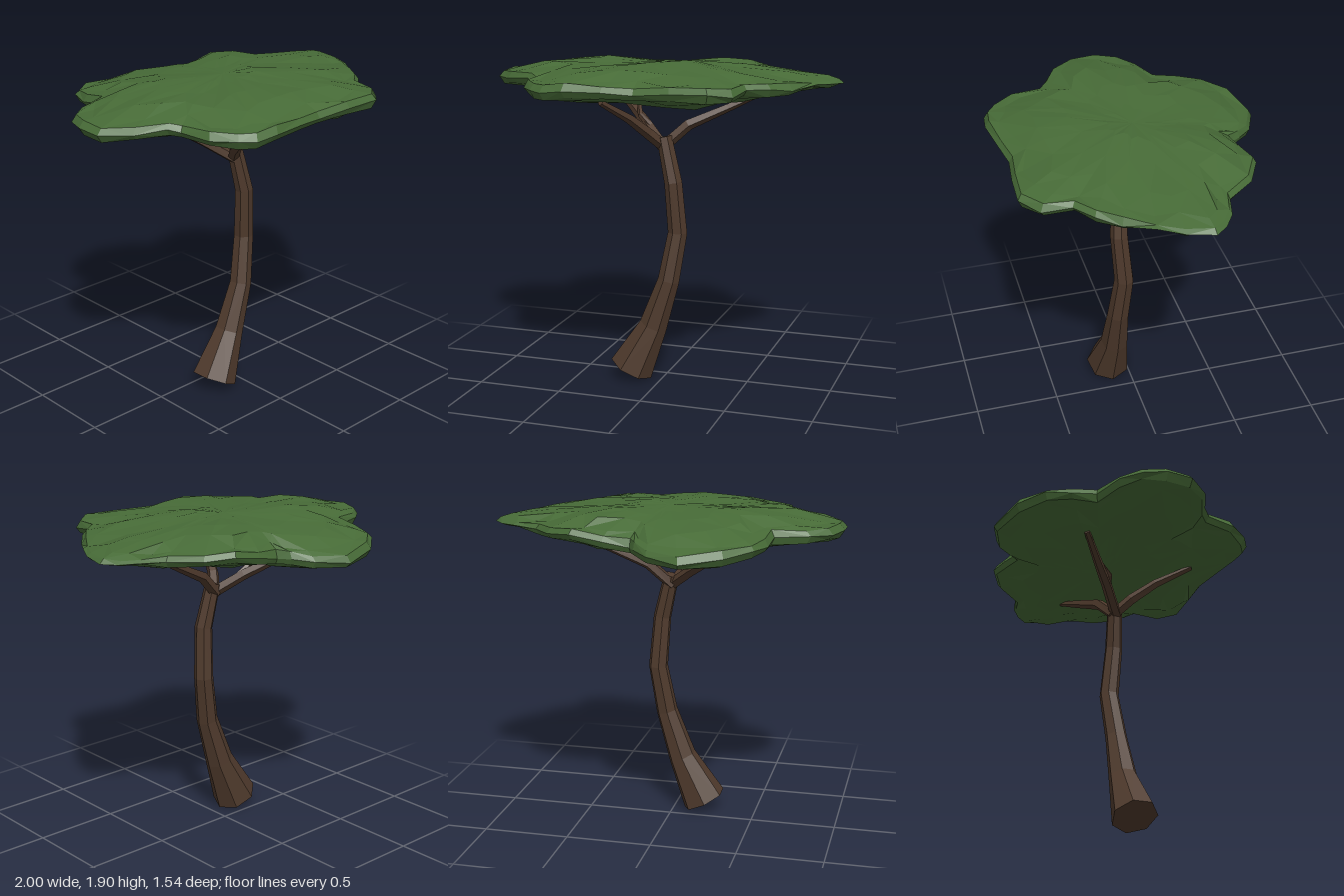
import * as THREE from 'three';

// Skin a closed solid over a list of rings (each an array of Vector3), capped at both ends
function loft(rings, material, name) {
  const pos = [];
  const tri = (...pts) => pts.forEach((p) => pos.push(p.x, p.y, p.z));
  const n = rings[0].length;
  const mid = (r) => r.reduce((s, p) => s.add(p), new THREE.Vector3()).divideScalar(n);
  const first = rings[0], last = rings[rings.length - 1];
  const c0 = mid(first), c1 = mid(last);
  for (let j = 0; j < n; j++) {
    const k = (j + 1) % n;
    for (let i = 0; i < rings.length - 1; i++) {
      const a = rings[i], b = rings[i + 1];
      if ((i + j) % 2) { tri(a[j], a[k], b[k]); tri(a[j], b[k], b[j]); }
      else { tri(a[j], a[k], b[j]); tri(a[k], b[k], b[j]); }
    }
    tri(c0, first[k], first[j]);
    tri(c1, last[j], last[k]);
  }
  const geo = new THREE.BufferGeometry();
  geo.setAttribute('position', new THREE.Float32BufferAttribute(pos, 3));
  geo.computeVertexNormals();
  const mesh = new THREE.Mesh(geo, material);
  mesh.name = name;
  return mesh;
}

// Tapered limb through nodes [x, y, z, radius]
function limb(nodes, sides, material, name) {
  const pts = nodes.map((p) => new THREE.Vector3(p[0], p[1], p[2]));
  const rings = nodes.map((node, i) => {
    const prev = pts[Math.max(i - 1, 0)], next = pts[Math.min(i + 1, pts.length - 1)];
    const t = next.clone().sub(prev).normalize();
    const u = new THREE.Vector3(0, 0, 1).cross(t).normalize().negate();
    const v = t.clone().cross(u);
    return Array.from({ length: sides }, (_, j) => {
      const a = (j / sides) * Math.PI * 2;
      return pts[i].clone()
        .addScaledVector(u, Math.cos(a) * node[3])
        .addScaledVector(v, Math.sin(a) * node[3]);
    });
  });
  return loft(rings, material, name);
}

// Lobed canopy outline as [x, z]
const OUTLINE = [
  [1, -0.15], [0.97, 0], [0.9, 0.13], [0.8, 0.28], [0.71, 0.4], [0.6, 0.49],
  [0.57, 0.65], [0.46, 0.745], [0.25, 0.735], [0.04, 0.71], [-0.13, 0.74], [-0.34, 0.77],
  [-0.47, 0.755], [-0.55, 0.7], [-0.64, 0.58], [-0.67, 0.4], [-0.72, 0.35], [-0.88, 0.27],
  [-1, 0.13], [-1, -0.02], [-0.95, -0.15], [-0.84, -0.24], [-0.65, -0.3], [-0.64, -0.45],
  [-0.59, -0.59], [-0.45, -0.71], [-0.22, -0.77], [-0.03, -0.69], [0.06, -0.6], [0.1, -0.53],
  [0.25, -0.55], [0.43, -0.56], [0.58, -0.48], [0.7, -0.32], [0.85, -0.28], [0.94, -0.22],
].reverse();

function canopyRings() {
  // [scale of outline, side: -1 underside, 0 rim, 1 top]
  const levels = [
    [0.2, -1], [0.45, -1], [0.7, -1], [0.88, -1], [0.97, -1], [1, 0],
    [0.97, 1], [0.88, 1], [0.7, 1], [0.45, 1], [0.2, 1],
  ];
  return levels.map(([s, side]) => OUTLINE.map(([ox, oz], j) => {
    const wobble = s > 0.9 ? 0 : 0.03 * Math.sin(j * 2.3 + s * 17);
    const x = ox * (s + wobble), z = oz * (s + wobble);
    // the rear lobe hangs lower, and the +x end thins out to a tip
    const base = 1.782 - 0.08 * Math.exp(-((x + 0.2) ** 2 + (z + 0.75) ** 2) / 0.15);
    const power = 5 - 2.2 * THREE.MathUtils.smoothstep(ox, 0.4, 0.9);
    const bulge = (side > 0 ? 0.105 : 0.1) * (1 - s ** power);
    const rim = side * (s > 0.95 ? 0.022 : 0) * (ox > 0.8 ? 0.3 : 1);
    const bumps = 0.008 * Math.sin(x * 9 + z * 5) + 0.007 * Math.sin(z * 13 - x * 6 + side)
      + (s > 0.85 ? 0.007 * Math.sin(j * 4.1 + s * 30) : 0);
    return new THREE.Vector3(x, base + side * bulge + rim + bumps, z);
  }));
}

export function createModel() {
  const bark = new THREE.MeshStandardMaterial({ color: 0x4f3a2c, flatShading: true });
  bark.name = 'bark brown';
  const leaf = new THREE.MeshStandardMaterial({ color: 0x476b37, flatShading: true });
  leaf.name = 'leaf green';

  const tree = new THREE.Group();
  tree.name = 'tree';

  // Leaning, curved trunk
  tree.add(limb([
    [-0.185, 0.057, 0.12, 0.135], [-0.05, 0.33, 0.11, 0.085], [0.045, 0.615, 0.11, 0.065],
    [0.092, 0.9, 0.085, 0.058], [0.072, 1.2, 0.107, 0.053], [0.012, 1.46, 0.09, 0.045],
  ], 7, bark, 'trunk'));

  // Branches spreading into the canopy
  const branches = {
    sideBranch: [[0, 1.4, 0.08, 0.035], [0.14, 1.53, 0.04, 0.034], [0.36, 1.63, -0.02, 0.025], [0.58, 1.73, -0.07, 0.012]],
    frontBranch: [[0.01, 1.4, 0.08, 0.034], [-0.06, 1.49, 0.17, 0.034], [-0.13, 1.59, 0.3, 0.028], [-0.22, 1.7, 0.5, 0.018]],
    backBranch: [[0.01, 1.4, 0.1, 0.035], [-0.13, 1.51, -0.02, 0.033], [-0.25, 1.59, -0.13, 0.027], [-0.4, 1.68, -0.26, 0.018]],
    twig: [[-0.1, 1.5, 0, 0.022], [-0.17, 1.56, -0.02, 0.018], [-0.22, 1.64, -0.13, 0.012]],
  };
  for (const [name, nodes] of Object.entries(branches)) tree.add(limb(nodes, 5, bark, name));

  // Flat, spreading canopy
  tree.add(loft(canopyRings(), leaf, 'canopy'));
  return tree;
}
